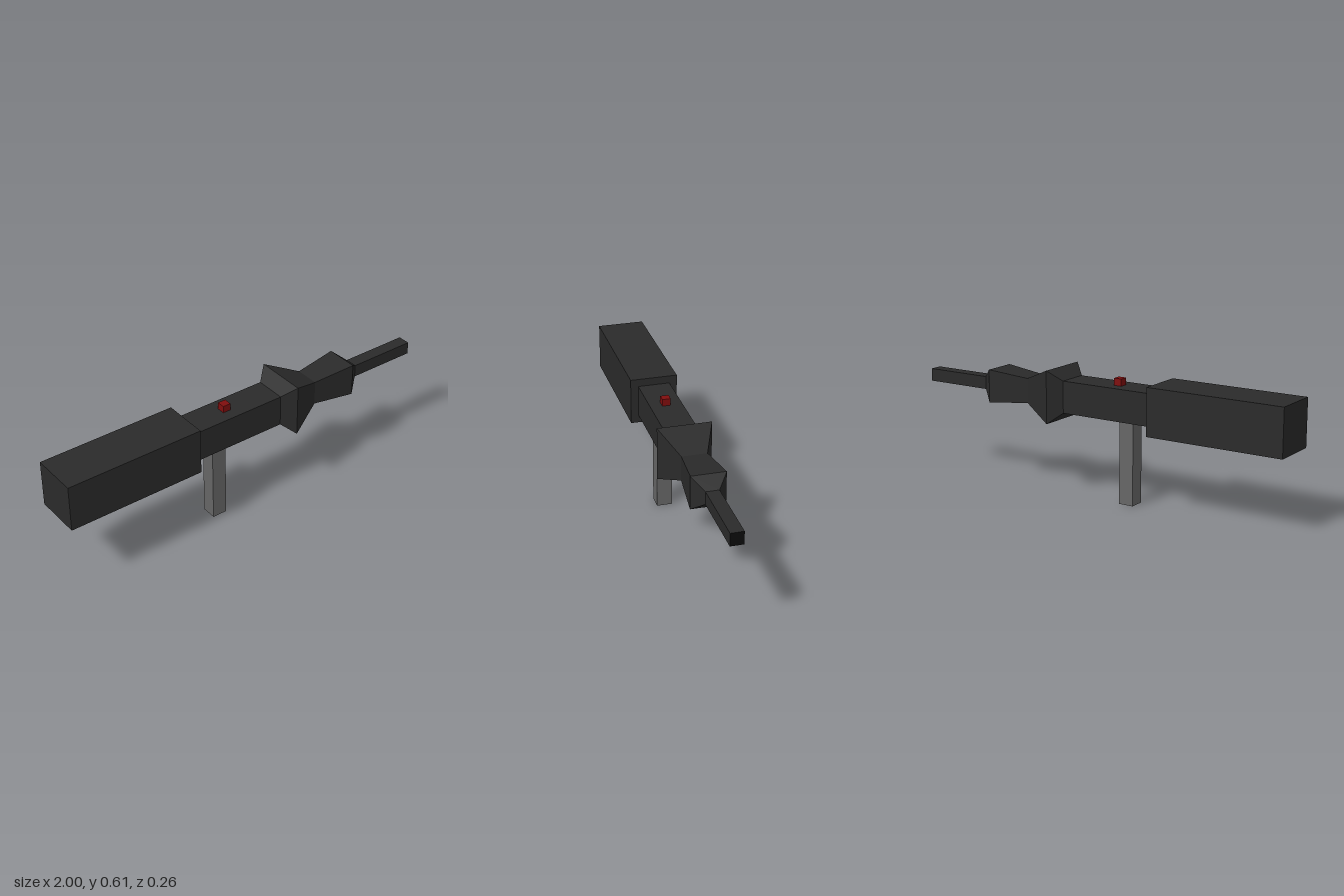
import * as THREE from 'three';

const AXIS_Y = 0.481;

function material(color) {
  return new THREE.MeshStandardMaterial({ color, flatShading: true });
}

function addMesh(group, name, geometry, mat, x, y, z = 0) {
  const mesh = new THREE.Mesh(geometry, mat);
  mesh.name = name;
  mesh.position.set(x, y, z);
  group.add(mesh);
  return mesh;
}

// Square-section solid along x from [x, halfWidth] pairs
function squareLathe(profile) {
  const points = profile.map(([x, half]) => new THREE.Vector2(half * Math.SQRT2, x));
  return new THREE.LatheGeometry(points, 4, Math.PI / 4).rotateZ(-Math.PI / 2);
}

export function createModel() {
  const group = new THREE.Group();
  group.name = 'device';
  const dark = material(0x2a2a2a);
  const black = material(0x0c0c0c);
  const grey = material(0x666666);
  const red = material(0x800e0e);

  // Wide rear block
  addMesh(group, 'rearBlock', new THREE.BoxGeometry(0.68, 0.228, 0.228), dark, -0.66, AXIS_Y);

  // Middle body, flared collars and narrow front tube in one stepped solid
  addMesh(group, 'body', squareLathe([
    [-0.32, 0], [-0.32, 0.077], [0.16, 0.077],
    [0.22, 0.128], [0.38, 0.06], [0.595, 0.081],
    [0.655, 0.031], [1, 0.031],
  ]), dark, 0, AXIS_Y);

  // Black front end of the tube
  const end = new THREE.PlaneGeometry(0.062, 0.062).rotateY(Math.PI / 2);
  addMesh(group, 'tubeEnd', end, black, 1, AXIS_Y);

  // Handle below the body
  addMesh(group, 'handle', new THREE.BoxGeometry(0.074, 0.42, 0.074), grey, -0.165, 0.21);

  // Button on top
  addMesh(group, 'button', new THREE.BoxGeometry(0.04, 0.04, 0.04), red, -0.106, 0.572);

  return group;
}
